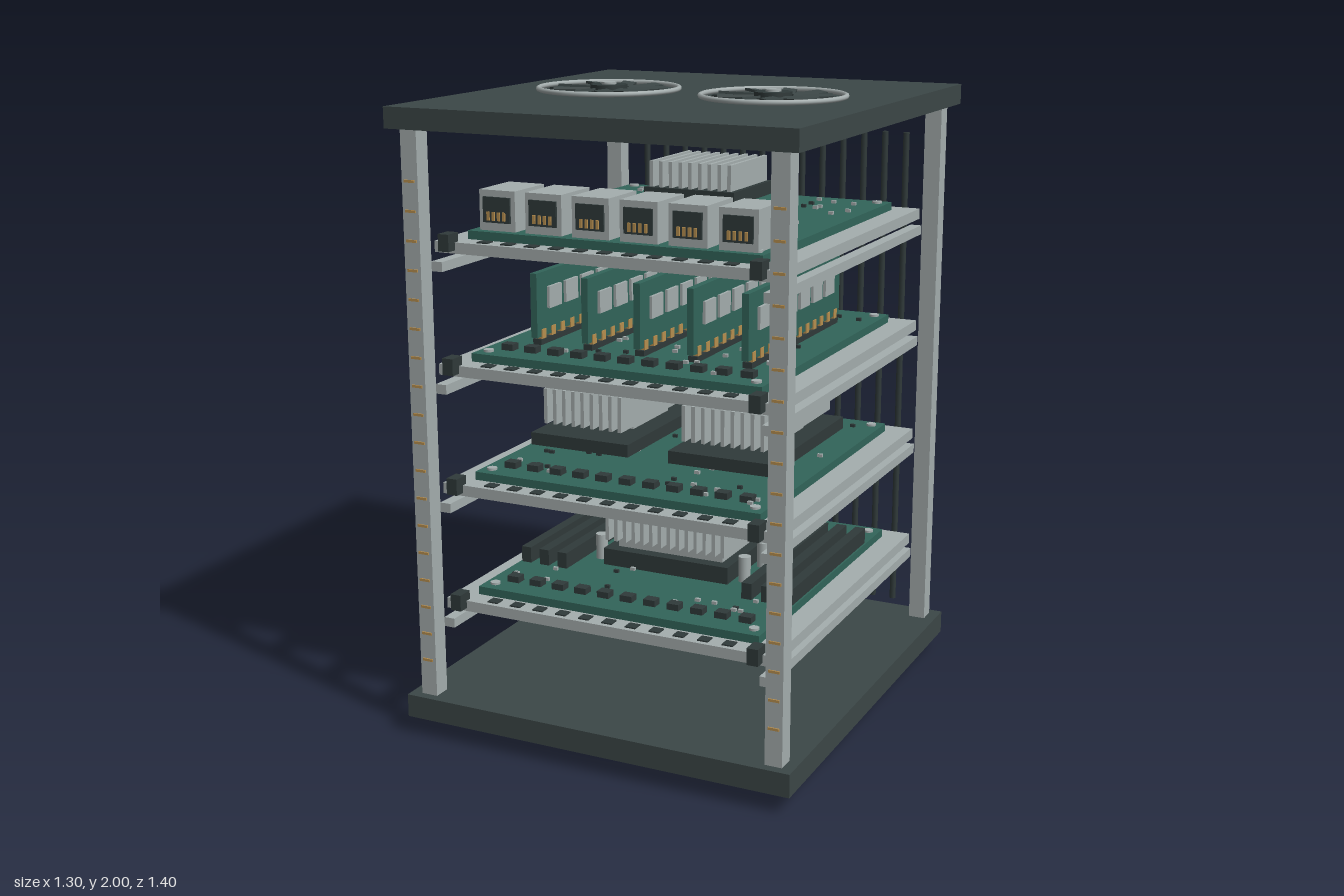
import * as THREE from 'three';

const mat = (name, color) => Object.assign(new THREE.MeshStandardMaterial({ color }), { name });

export function createModel() {
  const root = new THREE.Group();
  root.name = 'serverRack';
  const dark = mat('charcoal', 0x3c4747);
  const black = mat('darkPlastic', 0x303a3a);
  const silver = mat('brushedMetal', 0xa5aeae);
  const green = mat('boardGreen', 0x32655a);
  const gold = mat('goldContacts', 0xb89050);

  const add = (parent, name, geo, m, x, y, z) => {
    const mesh = new THREE.Mesh(geo, m);
    mesh.name = name;
    mesh.position.set(x, y, z);
    parent.add(mesh);
    return mesh;
  };
  // box given by its min/max extents in y, centred on x and z
  const box = (parent, name, m, x, y0, y1, z, w, d) =>
    add(parent, name, new THREE.BoxGeometry(w, y1 - y0, d), m, x, (y0 + y1) / 2, z);
  const disc = (parent, name, m, x, y0, y1, z, r, n = 20) =>
    add(parent, name, new THREE.CylinderGeometry(r, r, y1 - y0, n), m, x, (y0 + y1) / 2, z);
  const group = (parent, name) => {
    const g = new THREE.Group();
    g.name = name;
    parent.add(g);
    return g;
  };
  // row of thin vertical fins
  const fins = (parent, x, y0, y1, z, w, d, n) => {
    const g = group(parent, 'heatSinkFins');
    for (let i = 0; i < n; i++)
      box(g, 'fin', silver, x - w / 2 + 0.006 + (i * (w - 0.012)) / (n - 1), y0, y1, z, 0.012, d);
  };
  let seed = 7;
  const rnd = () => (seed = (seed * 16807) % 2147483647) / 2147483647;

  // case plates, feet and posts
  box(root, 'basePlate', dark, 0, 0.058, 0.132, 0, 1.3, 1.4);
  box(root, 'topPlate', dark, 0, 1.908, 1.972, 0, 1.3, 1.4);
  for (const sx of [-1, 1]) for (const sz of [-1, 1]) {
    disc(root, 'foot', black, sx * 0.49, 0, 0.058, sz * 0.505, 0.07, 24);
    box(root, 'post', silver, sx * 0.587, 0.132, 1.908, sz * 0.642, 0.055, 0.058);
  }

  // rack unit marks on the front posts
  for (const sx of [-1, 1]) for (let i = 0; i < 18; i++) {
    const y = 0.25 + i * 0.0885;
    box(root, 'unitMark', gold, sx * 0.587, y - 0.004, y + 0.004, 0.673, 0.035, 0.005);
  }

  // cable rods along the back
  for (let i = 0; i < 14; i++)
    disc(root, 'backRod', black, -0.48 + (i * 0.96) / 13, 0.17, 1.81, -0.664, 0.011, 8);

  // roof fans
  for (const sx of [-1, 1]) {
    const fan = group(root, 'fan');
    fan.position.set(sx * 0.28, 1.972, 0);
    const ring = add(fan, 'fanRing', new THREE.TorusGeometry(0.221, 0.008, 8, 48), silver, 0, 0.009, 0);
    ring.rotation.x = Math.PI / 2;
    disc(fan, 'fanHub', black, 0, 0, 0.021, 0, 0.058, 18);
    disc(fan, 'fanCap', silver, 0, 0.018, 0.028, 0, 0.024, 16);
    for (let i = 0; i < 9; i++) {
      const spoke = group(fan, 'fanSpoke');
      spoke.rotation.y = (i * Math.PI * 2) / 9 + 0.18;
      const blade = box(spoke, 'fanBlade', dark, 0.123, 0.004, 0.012, 0, 0.12, 0.042);
      blade.rotation.set(0.12, 0.3, 0);
    }
  }

  // four shelves: rails, tray, latches, circuit board and small components
  const tiers = [];
  for (let t = 0; t < 4; t++) {
    const shelf = group(root, 'shelf');
    shelf.position.y = 0.405 + t * 0.377;
    tiers.push(shelf);
    box(shelf, 'tray', silver, 0, 0, 0.034, 0, 1.11, 1.2);
    box(shelf, 'board', green, 0, 0.034, 0.06, 0, 0.96, 1.066);
    for (const sx of [-1, 1]) {
      box(shelf, 'rail', silver, sx * 0.537, -0.055, -0.025, 0, 0.036, 1.24);
      box(shelf, 'latch', black, sx * 0.502, 0.01, 0.062, 0.608, 0.036, 0.054);
      for (const sz of [-1, 1])
        disc(shelf, 'boardScrew', silver, sx * 0.445, 0.06, 0.067, sz * 0.49, 0.016, 12);
    }
    for (let i = 0; i < 11; i++) {
      const x = -0.4 + i * 0.08;
      box(shelf, 'trayVent', black, x, 0.034, 0.038, 0.567, 0.035, 0.035);
      box(shelf, 'edgeChip', black, x, 0.06, 0.08, 0.44 - (t === 3 ? 0.2 : 0), 0.04, 0.035);
    }
    for (let i = 0; i < 60; i++) {
      const x = (rnd() - 0.5) * 0.86, z = (rnd() - 0.5) * 0.94;
      box(shelf, 'smallPart', i % 3 ? silver : black, x, 0.06, 0.07, z, 0.016, 0.01);
    }
  }

  // bottom shelf: processor with heat sink, memory slots and capacitors
  const cpu = tiers[0];
  box(cpu, 'processorSocket', black, 0, 0.06, 0.115, -0.035, 0.44, 0.44);
  box(cpu, 'heatSinkBase', silver, 0, 0.115, 0.148, -0.035, 0.37, 0.36);
  fins(cpu, 0, 0.147, 0.297, -0.035, 0.42, 0.45, 14);
  for (const sx of [-1, 1]) {
    for (let i = 0; i < 3; i++)
      box(cpu, 'memorySlot', black, sx * (0.325 + i * 0.066), 0.06, 0.112, -0.05, 0.034, 0.65);
    for (const z of [0.13, -0.02, -0.16, -0.28])
      disc(cpu, 'capacitor', silver, sx * 0.255, 0.06, 0.143, z, 0.02, 14);
  }

  // second shelf: two accelerator modules
  for (const sx of [-1, 1]) {
    const x = sx * 0.242, g = group(tiers[1], 'acceleratorModule');
    box(g, 'moduleCard', black, x, 0.095, 0.135, 0, 0.345, 0.6);
    box(g, 'moduleChip', silver, x, 0.135, 0.164, 0.004, 0.21, 0.25);
    fins(g, x, 0.163, 0.277, 0.003, 0.275, 0.546, 9);
  }

  // third shelf: upright memory cards with chips and gold contacts
  for (let c = 0; c < 5; c++) {
    const x = -0.355 + c * 0.1775, g = group(tiers[2], 'memoryCard');
    box(g, 'cardBoard', green, x, 0.085, 0.287, 0, 0.022, 0.735);
    box(g, 'cardSlot', black, x, 0.06, 0.078, 0, 0.03, 0.7);
    for (let i = 0; i < 6; i++)
      box(g, 'cardChip', silver, x + 0.014, 0.168, 0.237, 0.265 - i * 0.1055, 0.012, 0.078);
    for (let i = 0; i < 12; i++)
      box(g, 'cardContact', gold, x, 0.075, 0.108, 0.33 - i * 0.06, 0.028, 0.024);
  }

  // top shelf: network ports and switch chip
  const net = tiers[3];
  for (let i = 0; i < 6; i++) {
    const x = -0.392 + i * 0.157, g = group(net, 'networkPort');
    box(g, 'portShell', silver, x, 0.06, 0.182, 0.418, 0.122, 0.175);
    box(g, 'portOpening', black, x, 0.085, 0.162, 0.508, 0.092, 0.009);
    for (let p = 0; p < 4; p++)
      box(g, 'portPin', gold, x - 0.027 + p * 0.018, 0.092, 0.118, 0.514, 0.009, 0.006);
  }
  box(net, 'switchChip', black, 0, 0.1, 0.142, -0.145, 0.31, 0.305);
  fins(net, 0, 0.141, 0.224, -0.145, 0.28, 0.285, 9);

  return root;
}
